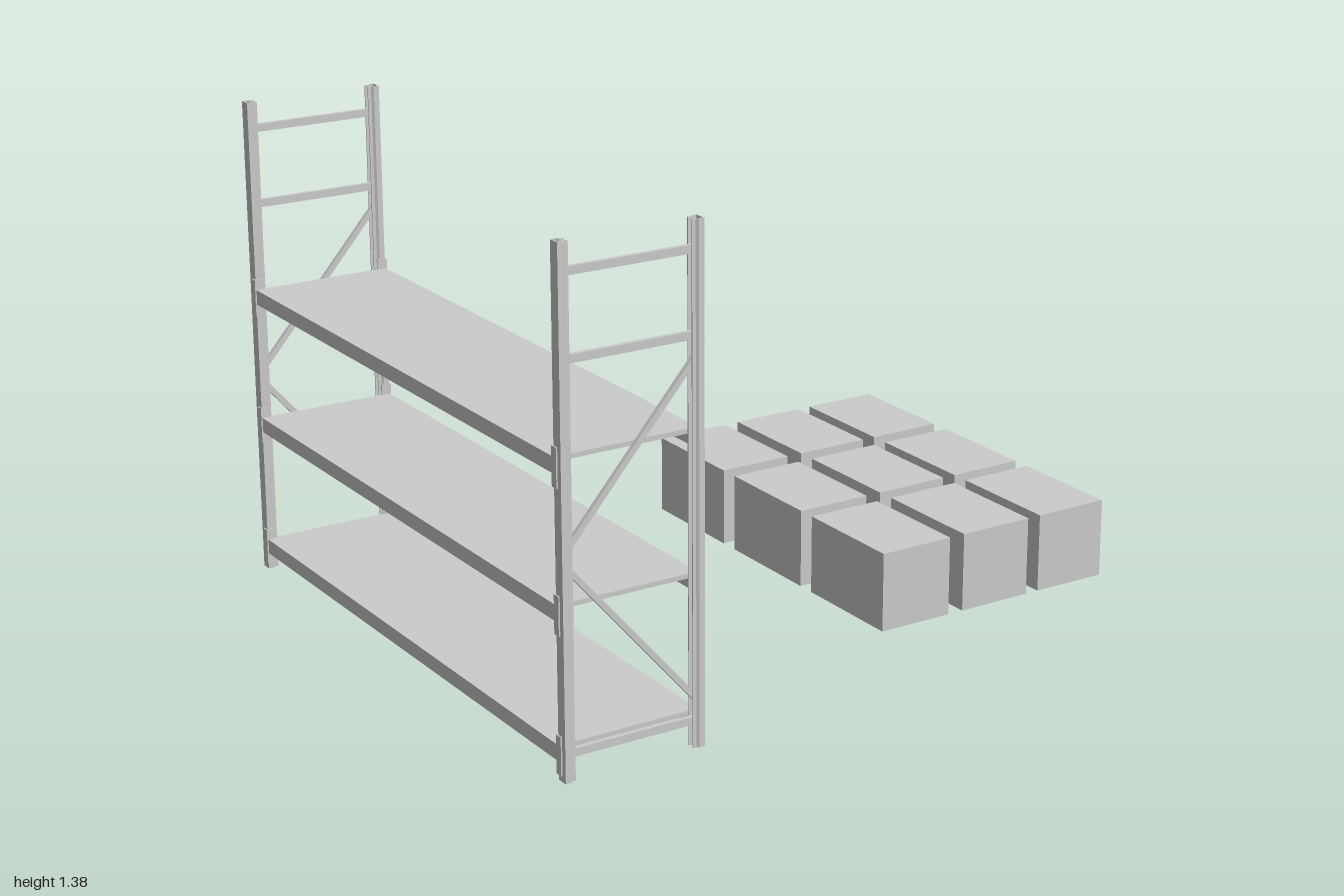
import * as THREE from 'three';

const material = new THREE.MeshStandardMaterial({ color: 0xcccccc, flatShading: true });

// Rack dimensions
const CX = -0.792, OUT = 0.204, POST_Z = 0.8525, HEIGHT = 1.385;
const SHELF_TOPS = [0.092, 0.464, 0.846];

function box(name, w, h, d, x, y, z) {
  const mesh = new THREE.Mesh(new THREE.BoxGeometry(w, h, d), material);
  mesh.name = name;
  mesh.position.set(x, y, z);
  return mesh;
}

// Upright: open channel whose flanges step in towards the middle of the rack
function upright(side, z) {
  const half = [[0, 0.0165], [0.016, 0.0165], [0.022, 0.011], [0.032, 0.011],
    [0.032, 0.008], [0.02, 0.008], [0.014, 0.0135], [0.003, 0.0135]];
  const loop = [...half, ...half.slice().reverse().map(([x, y]) => [x, -y])];
  const shape = new THREE.Shape(loop.map(([x, y]) => new THREE.Vector2(x, y)));
  const geometry = new THREE.ExtrudeGeometry(shape, { depth: HEIGHT, bevelEnabled: false });
  geometry.rotateX(-Math.PI / 2);
  if (side > 0) geometry.rotateY(Math.PI);
  const mesh = new THREE.Mesh(geometry, material);
  mesh.name = 'upright';
  mesh.position.set(CX + side * OUT, 0, z);
  return mesh;
}

// Flat bar between two heights, running from the -x post to the +x post
function brace(name, y0, y1, size, z) {
  const run = 0.365;
  const bar = box(name, Math.hypot(run, y1 - y0), size, 0.012, CX, (y0 + y1) / 2, z);
  bar.rotation.z = Math.atan2(y1 - y0, run);
  return bar;
}

function endFrame(z) {
  const frame = new THREE.Group();
  frame.name = 'endFrame';
  for (const side of [-1, 1]) frame.add(upright(side, z));
  for (const y of [0.073, 1.091, 1.308]) frame.add(brace('crossBar', y, y, 0.022, z));
  frame.add(brace('upperDiagonal', 0.61, 1.03, 0.016, z));
  frame.add(brace('lowerDiagonal', 0.56, 0.135, 0.016, z));
  return frame;
}

function shelf(top) {
  const group = new THREE.Group();
  group.name = 'shelf';
  const length = 1.672;
  group.add(box('shelfPanel', OUT * 2, 0.013, length, CX, top - 0.0065, 0));
  for (const side of [-1, 1]) {
    group.add(box('shelfBeam', 0.022, 0.03, length, CX + side * (OUT - 0.011), top - 0.028, 0));
    // Angled connector plates that hook the beam onto each upright
    for (const end of [-1, 1]) {
      const y = top - 0.023;
      group.add(box('connectorFace', 0.004, 0.105, 0.022, CX + side * (OUT + 0.002), y, end * 0.843));
      group.add(box('connectorReturn', 0.03, 0.105, 0.004, CX + side * (OUT - 0.011), y, end * 0.834));
    }
  }
  return group;
}

export function createModel() {
  const model = new THREE.Group();
  model.name = 'storageRackWithBoxes';

  const rack = new THREE.Group();
  rack.name = 'rack';
  for (const end of [-1, 1]) rack.add(endFrame(end * POST_Z));
  for (const top of SHELF_TOPS) rack.add(shelf(top));
  model.add(rack);

  // Three by three boxes standing beside the rack
  const boxes = new THREE.Group();
  boxes.name = 'boxes';
  for (const x of [0.338, 0.615, 0.885])
    for (const z of [-0.457, -0.055, 0.343])
      boxes.add(box('storageBox', 0.228, 0.23, 0.345, x, 0.115, z));
  model.add(boxes);

  return model;
}
